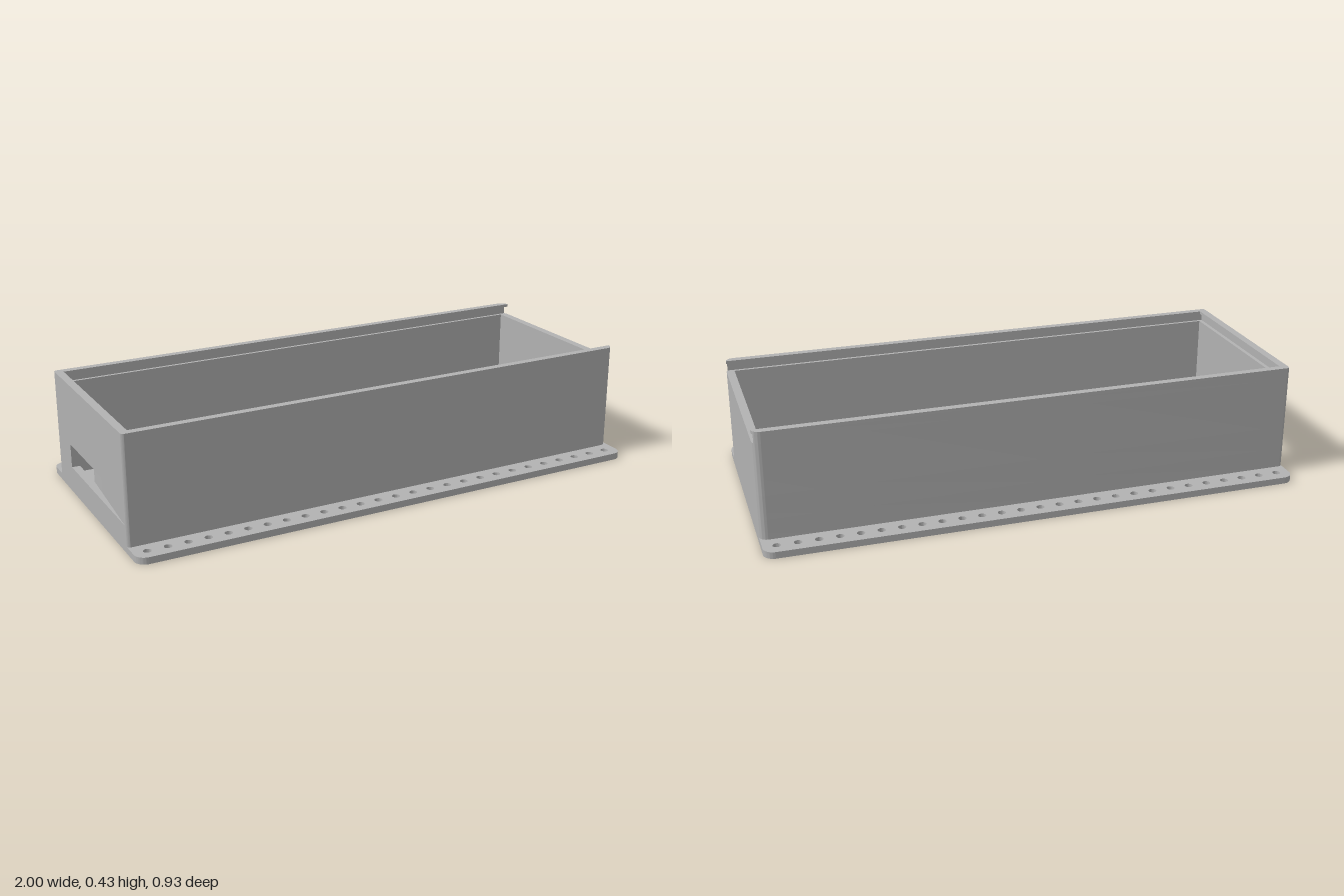
import * as THREE from 'three';
import { toCreasedNormals } from 'three/addons/utils/BufferGeometryUtils.js';

const FLOOR = 0.025, LEDGE = 0.385, LIP = 0.417, TOP = 0.428;
const HALF_Z = 0.37, IN_X = 0.97, IN_Z = 0.345;
const R_OPEN = 0.03, R_CLOSED = 0.012;

export function createModel() {
  const group = new THREE.Group();
  const grey = new THREE.MeshStandardMaterial({ color: 0xb2b2b2 });

  // Extrudes a plan shape (shape y = -z) upward from y0 to y1
  function slab(name, shape, y0, y1) {
    const geo = new THREE.ExtrudeGeometry(shape, { depth: y1 - y0, bevelEnabled: false, curveSegments: 10 });
    geo.rotateX(-Math.PI / 2).translate(0, y0, 0);
    const mesh = new THREE.Mesh(toCreasedNormals(geo, 0.5), grey);
    mesh.name = name;
    group.add(mesh);
  }

  // Rectangle with separate corner radii at the -x and +x ends
  function roundedRect(hx, hz, rl, rr) {
    const s = new THREE.Shape(), q = Math.PI / 2;
    s.absarc(hx - rr, hz - rr, rr, 0, q, false);
    s.absarc(-hx + rl, hz - rl, rl, q, 2 * q, false);
    s.absarc(-hx + rl, -hz + rl, rl, 2 * q, 3 * q, false);
    s.absarc(hx - rr, -hz + rr, rr, 3 * q, 4 * q, false);
    return s;
  }

  const circle = (x, y, r) => new THREE.Path().absarc(x, y, r, 0, Math.PI * 2, true);

  // Wall outline closed on all four sides
  function ring() {
    const s = roundedRect(1, HALF_Z, R_CLOSED, R_OPEN);
    s.holes.push(new THREE.Path([[-IN_X, -IN_Z], [-IN_X, IN_Z], [IN_X, IN_Z], [IN_X, -IN_Z]]
      .map(p => new THREE.Vector2(...p))));
    return s;
  }

  // Wall outline interrupted at the -x end between z0 and z1
  function ringWithGap(z0, z1) {
    const s = new THREE.Shape(), q = Math.PI / 2;
    const cx = 1 - R_OPEN, cy = HALF_Z - R_OPEN, dx = 1 - R_CLOSED, dy = HALF_Z - R_CLOSED;
    s.moveTo(-1, -z1);
    s.absarc(-dx, -dy, R_CLOSED, 2 * q, 3 * q, false);
    s.absarc(cx, -cy, R_OPEN, 3 * q, 4 * q, false);
    s.absarc(cx, cy, R_OPEN, 0, q, false);
    s.absarc(-dx, dy, R_CLOSED, q, 2 * q, false);
    s.lineTo(-1, -z0);
    s.lineTo(-IN_X, -z0);
    s.lineTo(-IN_X, IN_Z);
    s.lineTo(IN_X, IN_Z);
    s.lineTo(IN_X, -IN_Z);
    s.lineTo(-IN_X, -IN_Z);
    s.lineTo(-IN_X, -z1);
    return s;
  }

  // Lid rail running round three sides, open at the +x end
  function rail(ix, iz) {
    const s = new THREE.Shape(), q = Math.PI / 2;
    const cx = 1 - R_OPEN, cy = HALF_Z - R_OPEN, dx = 1 - R_CLOSED, dy = HALF_Z - R_CLOSED;
    const a = Math.asin((iz - cy) / R_OPEN);
    s.absarc(cx, cy, R_OPEN, a, q, false);
    s.absarc(-dx, dy, R_CLOSED, q, 2 * q, false);
    s.absarc(-dx, -dy, R_CLOSED, 2 * q, 3 * q, false);
    s.absarc(cx, -cy, R_OPEN, 3 * q, 4 * q - a, false);
    s.lineTo(-ix, -iz);
    s.lineTo(-ix, iz);
    return s;
  }

  // Base plate with a row of mounting holes along each flange
  const base = roundedRect(1, 0.467, 0.04, 0.04);
  for (let i = 0; i < 27; i++) {
    const x = -0.95 + (i * 1.9) / 26;
    for (const z of [-0.419, 0.419]) base.holes.push(circle(x, z, 0.0145));
  }
  slab('basePlate', base, 0, FLOOR);

  // Walls, with a cable opening in the -x end
  slab('lowerWalls', ring(), FLOOR, 0.1);
  slab('openingWalls', ringWithGap(-0.22, -0.05), 0.1, 0.19);
  slab('upperWalls', ring(), 0.19, LEDGE);

  // Groove for a sliding lid and the lip above it
  slab('lidGroove', rail(0.985, 0.357), LEDGE, LIP);
  slab('lidLip', rail(IN_X, 0.342), LIP, TOP);

  // Low divider across the floor
  const divider = new THREE.Mesh(new THREE.BoxGeometry(0.011, 0.075, IN_Z * 2), grey);
  divider.position.set(-0.09, FLOOR + 0.0375, 0);
  divider.name = 'divider';
  group.add(divider);

  // Hollow standoffs for a circuit board
  for (const [x, z] of [[-0.78, -0.286], [-0.797, 0.303], [-0.162, -0.1], [-0.162, 0.238]]) {
    const s = new THREE.Shape().absarc(x, -z, 0.035, 0, Math.PI * 2, false);
    s.holes.push(circle(x, -z, 0.018));
    slab('standoff', s, FLOOR, 0.115);
  }

  return group;
}
